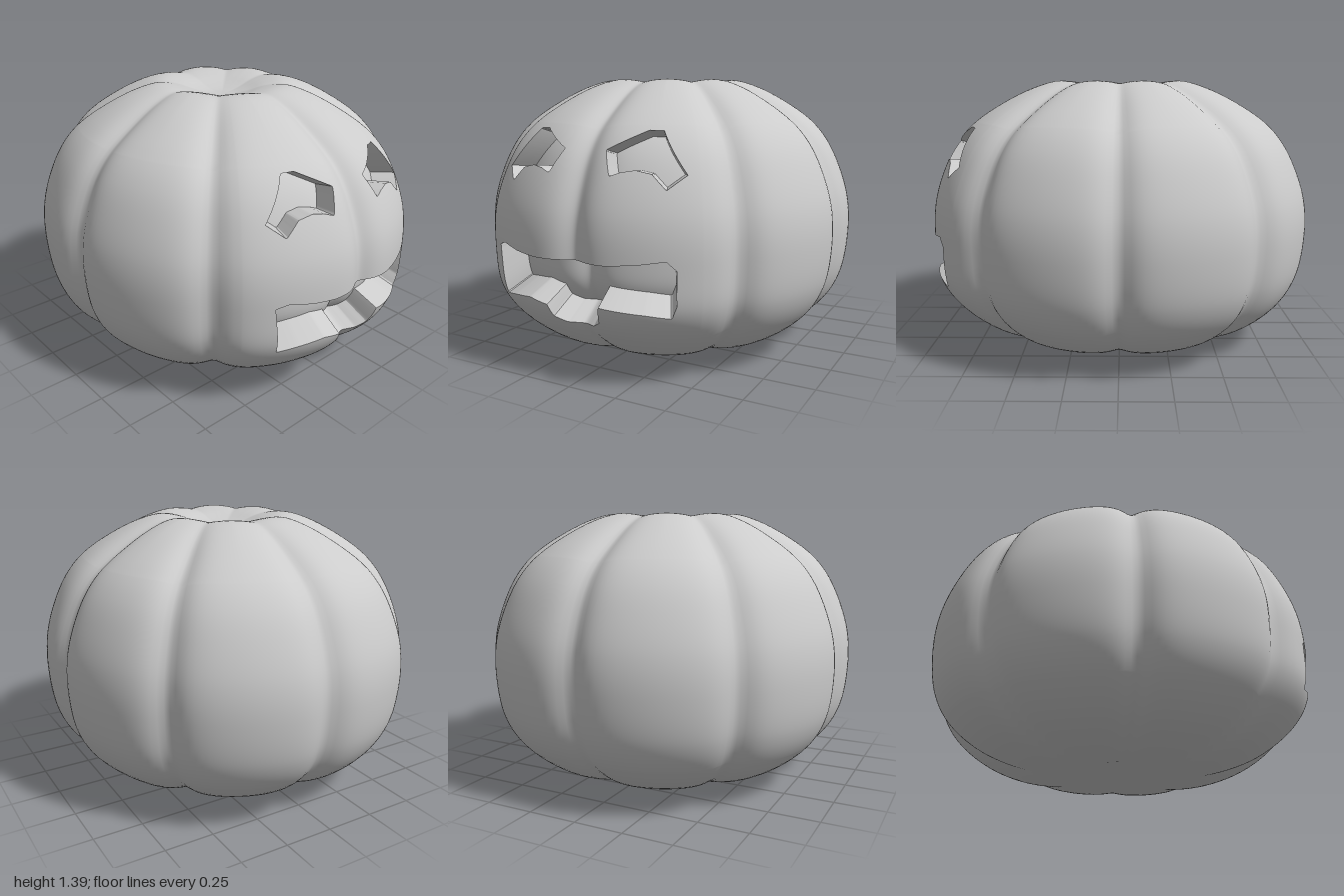
import * as THREE from 'three';
import { mergeVertices, toCreasedNormals } from 'three/addons/utils/BufferGeometryUtils.js';

// Lobe profile from the bottom dimple to the top dimple: [radius, height]
const profile = new THREE.CatmullRomCurve3([
  [0, 0.05], [0.12, 0.045], [0.25, 0.02], [0.34, 0.006], [0.43, 0.009], [0.6, 0.048], [0.75, 0.118],
  [0.89, 0.24], [0.967, 0.38], [1, 0.6], [0.988, 0.78], [0.93, 0.96], [0.86, 1.09], [0.77, 1.19],
  [0.61, 1.298], [0.46, 1.37], [0.34, 1.4], [0.23, 1.382], [0.14, 1.35], [0.07, 1.332], [0, 1.327],
].map(([r, y]) => new THREE.Vector3(r, y, 0)));

// Skin point for u (around, 0 = front) and v (bottom to top), with eight grooves
function skin(u, v) {
  const a = u * Math.PI * 2;
  const p = profile.getPoint(v);
  const deg = u * 360 - 1.4 * Math.cos(a); // grooves meet slightly off centre
  const d = Math.abs(deg - Math.round(deg / 45) * 45);
  const width = 3.2 / Math.max(p.x, 0.35);
  const fade = THREE.MathUtils.smoothstep(p.x, 0, 0.75);
  const groove = 0.058 * fade * Math.exp(-(Math.sqrt(d * d + 6) - 2.45) / width);
  const chin = 0.025 * Math.exp(-(((p.y - 0.36) / 0.15) ** 2)) * Math.max(0, Math.cos(a)) ** 3;
  const oval = 0.992 + 0.028 * Math.cos(2 * a) + 0.006 * Math.sin(2 * a) ** 2;
  const r = p.x * (oval + chin) * (1 - groove);
  const drop = groove * (p.y > 0.7 ? 1 : 0.4);
  return new THREE.Vector3(r * Math.sin(a), p.y - (p.y - 0.7) * drop, r * Math.cos(a));
}

// Carved outlines seen from the front
const eye = [[0.11, 1.08], [0.27, 1.165], [0.33, 1.163], [0.475, 0.98], [0.41, 0.918],
  [0.34, 0.985], [0.27, 1.0], [0.21, 0.99], [0.16, 0.972]];
const cuts = {
  leftEye: eye.map(([x, y]) => [0.02 + x, y]),
  rightEye: eye.map(([x, y]) => [0.02 - x, y]),
  mouth: [[-0.465, 0.605], [-0.41, 0.622], [-0.3, 0.603], [-0.18, 0.593], [0.2, 0.593], [0.34, 0.605],
    [0.455, 0.622], [0.495, 0.58], [0.49, 0.42], [0.465, 0.362], [0.36, 0.38], [0.16, 0.4],
    [0.14, 0.315], [0.09, 0.285], [0.02, 0.278], [-0.05, 0.285], [-0.105, 0.315], [-0.12, 0.375],
    [-0.22, 0.395], [-0.34, 0.38], [-0.44, 0.36]],
};

// Signed distance to a polygon, negative inside
function distance(poly, x, y) {
  let best = Infinity, inside = false;
  poly.forEach(([ax, ay], i) => {
    const [bx, by] = poly[(i + 1) % poly.length];
    const ex = bx - ax, ey = by - ay;
    const t = THREE.MathUtils.clamp(((x - ax) * ex + (y - ay) * ey) / (ex * ex + ey * ey), 0, 1);
    best = Math.min(best, Math.hypot(x - ax - ex * t, y - ay - ey * t));
    if ((ay > y) !== (by > y) && x < ax + (ex * (y - ay)) / ey) inside = !inside;
  });
  return inside ? -best : best;
}

// Sample: skin position, nearest cut and distance to it
function sample(u, v) {
  const s = { u, v, p: skin(u, v), d: 1, cut: null };
  if (s.p.z > 0.4) {
    for (const name in cuts) {
      const d = distance(cuts[name], s.p.x, s.p.y);
      if (d < s.d) Object.assign(s, { d, cut: name });
    }
  }
  return s;
}
const between = (a, b, t) => sample(a.u + (b.u - a.u) * t, a.v + (b.v - a.v) * t);

// Carved floors are the skin shrunk towards a point at mid-face height
const CENTRE = new THREE.Vector3(0, 0.9, 0);
const inner = (s) => s.p.clone().sub(CENTRE).multiplyScalar(0.87).add(CENTRE);
const outer = (s) => s.p;

// Steps from a to d with a dense stretch between b and c
function steps(a, b, c, d, sparse, dense) {
  const list = [];
  for (let i = 0; i < sparse; i++) list.push(a + ((b - a) * i) / sparse);
  for (let i = 0; i < dense; i++) list.push(b + ((c - b) * i) / dense);
  for (let i = 0; i <= sparse; i++) list.push(c + ((d - c) * i) / sparse);
  return list;
}

export function createModel() {
  const soup = { skin: [] };
  for (const name in cuts) {
    soup[name + 'Floor'] = [];
    soup[name + 'Wall'] = [];
  }
  const put = (key, ...pts) => pts.forEach((p) => soup[key].push(p.x, p.y, p.z));
  const fan = (key, poly, place) => {
    for (let i = 1; i + 1 < poly.length; i++) put(key, place(poly[0]), place(poly[i]), place(poly[i + 1]));
  };

  // Split a triangle along the cut: skin outside, sunken floor inside, wall on the line
  function carve(...tri) {
    const near = tri.reduce((m, s) => (s.d < m.d ? s : m));
    const out = [], inn = [];
    let leave, enter;
    tri.forEach((a, i) => {
      const b = tri[(i + 1) % 3];
      (a.d > 0 ? out : inn).push(a);
      if ((a.d > 0) !== (b.d > 0)) {
        // interpolate from the outside end so neighbours share the point
        const [from, to] = a.d > 0 ? [a, b] : [b, a];
        const m = between(from, to, from.d / (from.d - to.d));
        out.push(m);
        inn.push(m);
        if (a.d > 0) leave = m; else enter = m;
      }
    });
    fan('skin', out, outer);
    if (inn.length) fan(near.cut + 'Floor', inn, inner);
    if (leave) {
      put(near.cut + 'Wall', leave.p, inner(leave), inner(enter));
      put(near.cut + 'Wall', leave.p, inner(enter), enter.p);
    }
  }

  // Walk the skin grid, finest across the face
  const us = steps(-0.5, -0.1, 0.1, 0.5, 80, 140);
  const vs = steps(0, 0.35, 0.65, 1, 30, 110);
  const grid = vs.map((v) => us.map((u) => sample(u, v)));
  for (let j = 0; j + 1 < vs.length; j++) {
    for (let i = 0; i + 1 < us.length; i++) {
      const a = grid[j][i], b = grid[j][i + 1], c = grid[j + 1][i + 1], d = grid[j + 1][i];
      if (j > 0) carve(a, b, c);
      if (j + 2 < vs.length) carve(a, c, d);
    }
  }

  // One mesh per part: smooth skin and floors, creased walls
  const group = new THREE.Group();
  group.name = 'carvedPumpkin';
  const material = new THREE.MeshStandardMaterial({ color: 0xcccccc });
  for (const key in soup) {
    let geo = new THREE.BufferGeometry();
    geo.setAttribute('position', new THREE.Float32BufferAttribute(soup[key], 3));
    if (key.endsWith('Wall')) {
      geo = toCreasedNormals(geo, 0.5);
    } else {
      geo = mergeVertices(geo, 1e-5);
      geo.computeVertexNormals();
    }
    const mesh = new THREE.Mesh(geo, material);
    mesh.name = key === 'skin' ? 'pumpkinSkin' : key;
    group.add(mesh);
  }
  return group;
}
